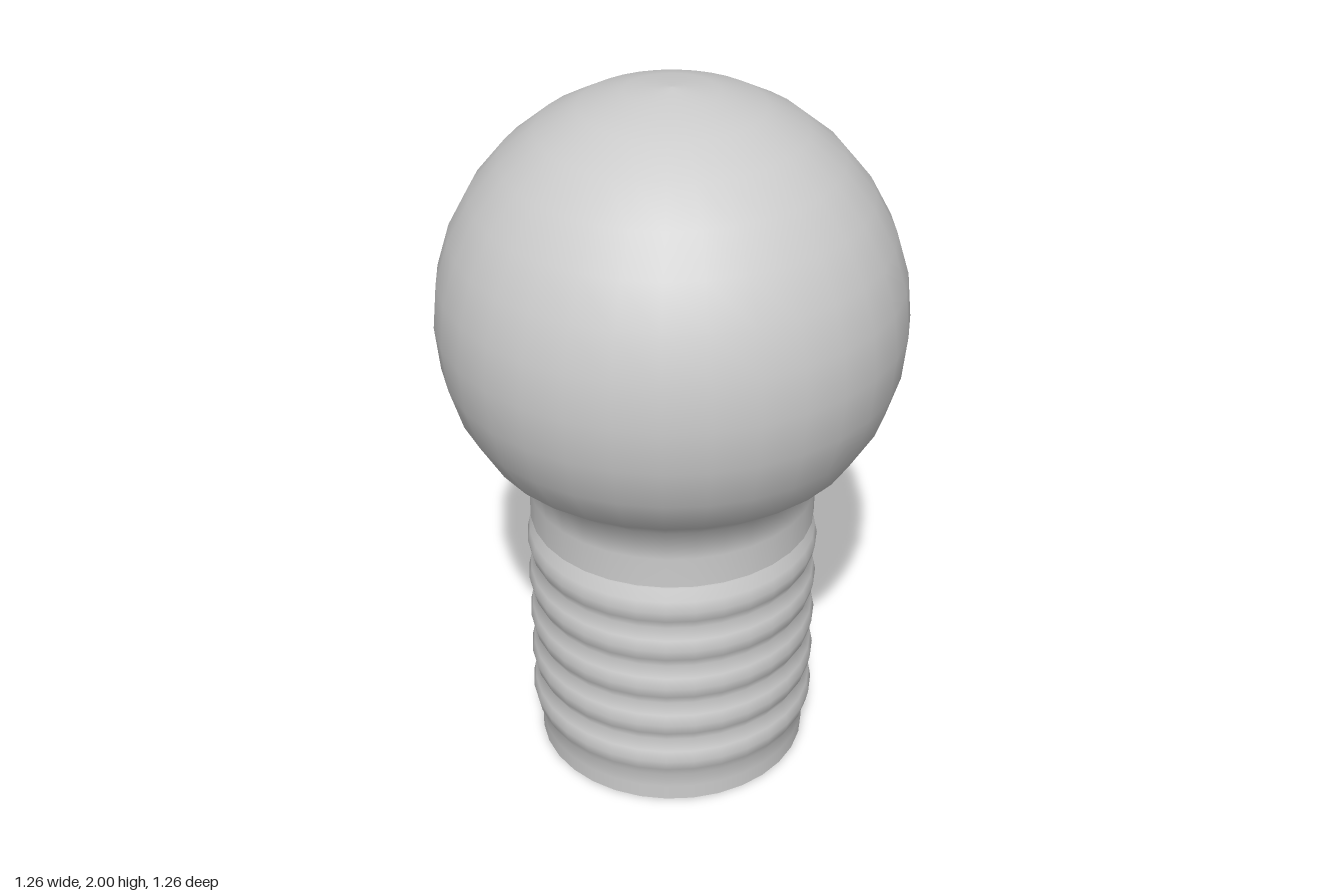
import * as THREE from 'three';

const SIDES = 32;
const material = new THREE.MeshStandardMaterial({ color: 0xcccccc });

// Revolves a list of [radius, height] pairs, ordered bottom to top.
function lathe(name, profile) {
  const points = profile.map(([r, y]) => new THREE.Vector2(r, y));
  const mesh = new THREE.Mesh(new THREE.LatheGeometry(points, SIDES), material);
  mesh.name = name;
  return mesh;
}

export function createModel() {
  const group = new THREE.Group();
  group.name = 'lightBulb';

  // Globe: round ball flaring into a straight neck
  const radius = 0.632, centre = 2 - radius;
  const globe = [[0.4, 0.75], [0.4, 0.84], [0.404, 0.925], [0.518, 1.015]];
  for (let i = 10; i >= 0; i--) {
    const a = (i * Math.PI) / 16;
    globe.push([radius * Math.sin(a), centre + radius * Math.cos(a)]);
  }
  group.add(lathe('globe', globe));

  // Small step under the neck
  group.add(lathe('neckLip', [[0.37, 0.75], [0.4, 0.75]]));

  // Screw base: plain foot, then five rounded ridges
  const pitch = 0.129, start = 0.09;
  const screw = [[0.387, 0], [0.387, 0.045]];
  for (let i = 0; i < 5; i++) {
    const y = start + i * pitch;
    screw.push([0.387, y], [0.404, y + pitch * 0.25], [0.411, y + pitch * 0.5], [0.404, y + pitch * 0.75]);
  }
  screw.push([0.387, start + 5 * pitch], [0.385, 0.75]);
  group.add(lathe('screwBase', screw));

  // Flat underside
  group.add(lathe('bottomCap', [[0, 0], [0.387, 0]]));

  return group;
}
